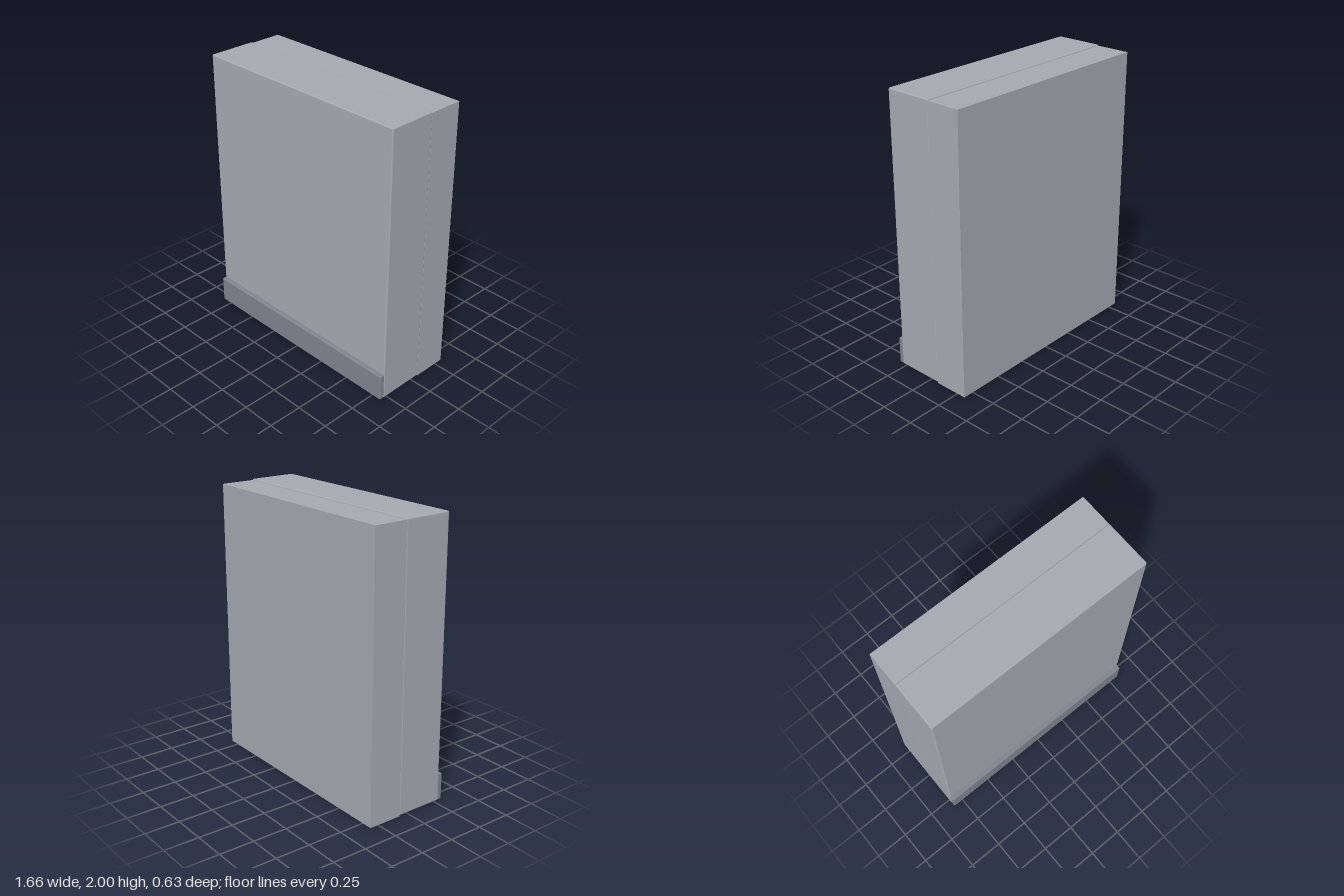
import * as THREE from 'three';
import { RoundedBoxGeometry } from 'three/addons/geometries/RoundedBoxGeometry.js';

export function createModel() {
  const model = new THREE.Group();
  model.name = 'cabinet';

  const material = (name, color) => {
    const m = new THREE.MeshStandardMaterial({ color });
    m.name = name;
    return m;
  };
  const panelGrey = material('panel grey', 0xa4a9b1);
  const plinthGrey = material('plinth grey', 0x7f848e);

  // Places a box by its y and z extents; a radius gives it eased edges
  const addBox = (name, mat, width, [y0, y1], [z0, z1], radius = 0) => {
    const size = [width, y1 - y0, z1 - z0];
    const geometry = radius
      ? new RoundedBoxGeometry(...size, 2, radius)
      : new THREE.BoxGeometry(...size);
    const mesh = new THREE.Mesh(geometry, mat);
    mesh.name = name;
    mesh.position.set(0, (y0 + y1) / 2, (z0 + z1) / 2);
    model.add(mesh);
  };

  // Square-edged rear housing
  addBox('rearHousing', panelGrey, 1.658, [0, 1.99], [-0.315, -0.065]);
  // Front body with eased edges
  addBox('frontBody', panelGrey, 1.66, [0.003, 2], [-0.068, 0.282], 0.011);
  // Darker kick plate along the foot of the front
  addBox('kickPlate', plinthGrey, 1.656, [0.003, 0.2], [0.275, 0.315], 0.011);

  return model;
}
